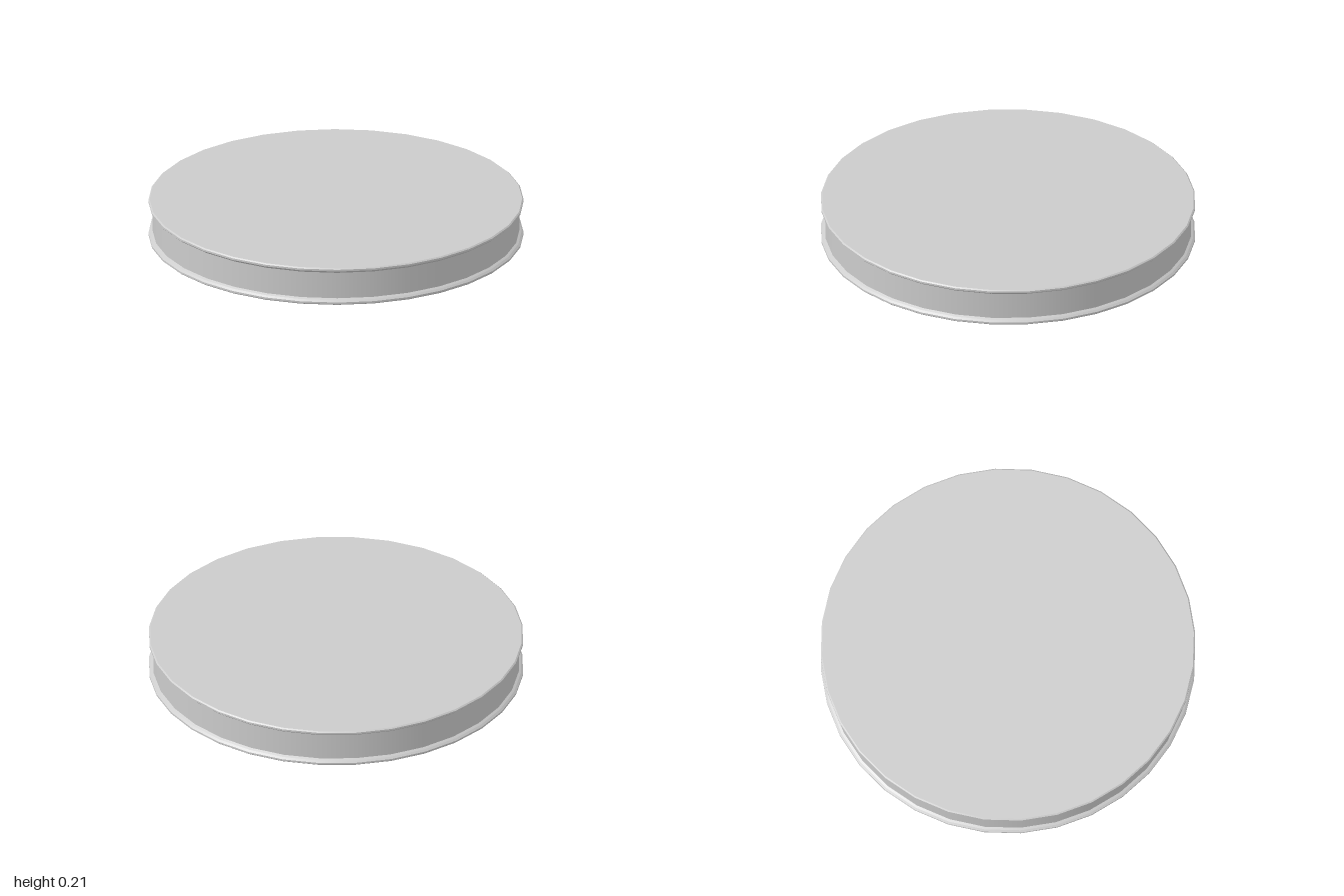
import * as THREE from 'three';
import { mergeGeometries } from 'three/addons/utils/BufferGeometryUtils.js';

const SIDES = 32;
const HEIGHT = 0.21;

// Revolve each profile step separately: smooth around, crisp between bands
function revolve(name, profile, material) {
  const bands = [];
  for (let i = 0; i < profile.length - 1; i++) {
    const pair = [profile[i], profile[i + 1]].map(([r, y]) => new THREE.Vector2(r, y));
    bands.push(new THREE.LatheGeometry(pair, SIDES));
  }
  const mesh = new THREE.Mesh(mergeGeometries(bands), material);
  mesh.name = name;
  return mesh;
}

export function createModel() {
  const group = new THREE.Group();
  group.name = 'rimmedDisc';
  const material = new THREE.MeshStandardMaterial({ color: 0xcccccc });

  // Flat face and flared lip, listed from the bottom centre outwards
  const lip = [[0, 0], [0.993, 0], [1, 0.006], [1, 0.016], [0.99, 0.025], [0.978, 0.032]];
  const mirrored = lip.map(([r, y]) => [r, HEIGHT - y]).reverse();

  group.add(revolve('bottomRim', lip, material));
  group.add(revolve('sideWall', [lip.at(-1), mirrored[0]], material));
  group.add(revolve('topRim', mirrored, material));
  return group;
}
